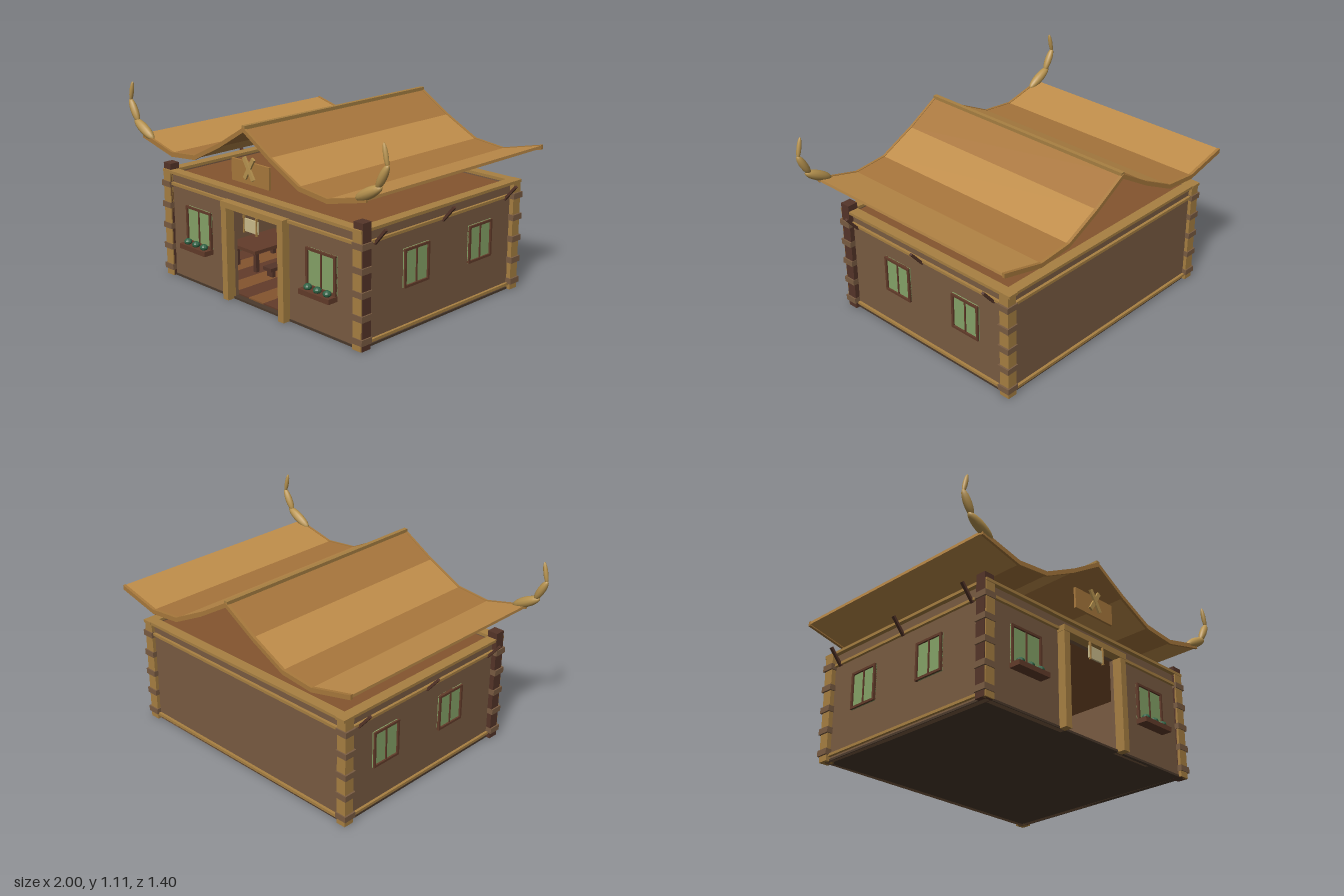
import * as THREE from 'three';

const C = {
  wall: 0x7a5c42, gold: 0xa88042, dark: 0x553529, plank: 0x84552f, frame: 0x633c2a,
  glass: 0x86a468, thatchA: 0xa8763c, thatchB: 0xbf8d4a, horn: 0xb89450, pale: 0xcdbd8c,
  bush: 0x2f6244, board: 0xa8793c, under: 0x4b3a2c,
};
const mats = {};
const mat = (c) => (mats[c] ??= new THREE.MeshStandardMaterial({ color: C[c], flatShading: c !== 'horn', roughness: 0.9 }));

function add(parent, name, geo, color, x = 0, y = 0, z = 0) {
  const m = new THREE.Mesh(geo, mat(color));
  m.name = name;
  m.position.set(x, y, z);
  parent.add(m);
  return m;
}

// Box given by its lower and upper limits
const box = (parent, name, color, x0, x1, y0, y1, z0, z1) =>
  add(parent, name, new THREE.BoxGeometry(x1 - x0, y1 - y0, z1 - z0), color, (x0 + x1) / 2, (y0 + y1) / 2, (z0 + z1) / 2);

function group(parent, name) {
  const g = new THREE.Group();
  g.name = name;
  parent.add(g);
  return g;
}

// Window facing +z, centred on its own origin
function makeWindow(parent, w, h, planter) {
  const g = group(parent, 'window');
  const t = 0.013, a = w / 2, b = h / 2;
  box(g, 'glass', 'glass', -a, a, -b, b, 0, 0.006);
  for (const s of [-1, 1]) {
    add(g, 'windowFrameSide', new THREE.BoxGeometry(t, h, 0.016), 'frame', s * (a - t / 2), 0, 0.008);
    add(g, 'windowFrameRail', new THREE.BoxGeometry(w, t, 0.016), 'frame', 0, s * (b - t / 2), 0.008);
  }
  box(g, 'windowMullion', 'frame', -0.004, 0.004, -b, b, 0, 0.012);
  if (planter) {
    box(g, 'planter', 'frame', -0.11, 0.11, -b - 0.028, -b, 0, 0.065);
    for (const x of [-0.07, 0, 0.07]) {
      const m = add(g, 'plant', new THREE.SphereGeometry(0.023, 10, 7), 'bush', x, -b + 0.012, 0.035);
      m.scale.y = 0.8;
    }
  }
  return g;
}

// Two crossed bars in the xy plane
function makeCross(parent, name, color, len, w, spread, x, y, z) {
  const g = group(parent, name);
  g.position.set(x, y, z);
  for (const s of [-1, 1]) add(g, 'crossBar', new THREE.BoxGeometry(w, len, 0.012), color, 0, 0, s * 0.002).rotation.z = s * spread;
}

function buildWalls(root) {
  const g = group(root, 'walls');
  box(g, 'foundation', 'under', -0.76, 0.76, 0, 0.012, -0.61, 0.605);
  box(g, 'backWall', 'wall', -0.755, 0.755, 0, 0.615, -0.61, -0.58);
  box(g, 'ceiling', 'plank', -0.73, 0.73, 0.59, 0.605, -0.585, 0.575);
  box(g, 'doorLintelWall', 'wall', -0.21, 0.21, 0.53, 0.615, 0.57, 0.6);
  for (const s of [-1, 1]) {
    add(g, 'frontWall', new THREE.BoxGeometry(0.55, 0.615, 0.03), 'wall', s * 0.48, 0.3075, 0.585);
    add(g, 'sideWall', new THREE.BoxGeometry(0.03, 0.615, 1.21), 'wall', s * 0.74, 0.3075, -0.005);
    // Rails along the side walls
    for (const y of [0.032, 0.552]) add(g, 'sideRail', new THREE.BoxGeometry(0.03, 0.015, 1.15), 'gold', s * 0.755, y, 0);
    add(g, 'topSideRail', new THREE.BoxGeometry(0.06, 0.016, 1.265), 'gold', s * 0.75, 0.622, -0.007);
    // Slanted struts under the eaves
    for (const z of [-0.515, 0, 0.51])
      add(g, 'eaveStrut', new THREE.BoxGeometry(0.014, 0.115, 0.016), 'dark', s * 0.8, 0.58, z).rotation.z = -s * 0.7;
    // Side windows
    for (const z of [0.2, -0.31]) {
      const w = makeWindow(g, 0.19, 0.21, false);
      w.position.set(s * 0.755, 0.348, z);
      w.rotation.y = s * Math.PI / 2;
    }
    makeWindow(g, 0.215, 0.212, true).position.set(s * 0.487, 0.344, 0.6);
  }
  // Rails along the front and back
  for (const [z, ys] of [[0.605, [0.552]], [-0.615, [0.032, 0.552]]])
    for (const y of ys) add(g, 'crossRail', new THREE.BoxGeometry(1.5, 0.016, 0.022), 'gold', 0, y, z);
  for (const z of [0.595, -0.605]) add(g, 'topCrossRail', new THREE.BoxGeometry(1.56, 0.016, 0.06), 'gold', 0, 0.622, z);
}

function buildCorners(root) {
  const g = group(root, 'cornerPosts');
  for (const s of [-1, 1]) {
    add(g, 'frontDarkPost', new THREE.BoxGeometry(0.062, 0.665, 0.06), 'dark', s * 0.752, 0.3325, 0.585);
    add(g, 'frontPost', new THREE.BoxGeometry(0.058, 0.625, 0.02), 'gold', s * 0.75, 0.3125, 0.612);
    add(g, 'backPost', new THREE.BoxGeometry(0.058, 0.63, 0.06), 'gold', s * 0.752, 0.315, -0.6);
    // Log ends stacked up each corner
    for (let i = 0; i < 5; i++) {
      const y = 0.05 + i * 0.124;
      for (const z of [0.59, -0.6]) add(g, 'logEnd', new THREE.BoxGeometry(0.072, 0.033, 0.074), 'wall', s * 0.755, y, z);
    }
  }
}

function buildDoor(root) {
  const g = group(root, 'doorway');
  for (const s of [-1, 1]) add(g, 'doorPost', new THREE.BoxGeometry(0.042, 0.555, 0.055), 'gold', s * 0.224, 0.2775, 0.62);
  box(g, 'doorBeam', 'gold', -0.247, 0.247, 0.53, 0.563, 0.595, 0.65);
  // Hanging sign
  box(g, 'hangingSign', 'pale', -0.056, 0.056, 0.44, 0.51, 0.64, 0.65);
  for (const s of [-1, 1]) add(g, 'signHanger', new THREE.BoxGeometry(0.007, 0.1, 0.012), 'gold', s * 0.05, 0.48, 0.65);
  // Plaque with crossed bars above the entrance
  box(g, 'plaque', 'board', -0.147, 0.147, 0.7, 0.82, 0.632, 0.645);
  makeCross(g, 'plaqueCross', 'horn', 0.135, 0.023, 0.55, 0, 0.788, 0.652);
}

function buildInterior(root) {
  const g = group(root, 'interior');
  for (let i = 0; i < 12; i++) {
    const x = -0.72 + i * 0.12;
    box(g, 'floorPlank', i % 2 ? 'plank' : 'frame', x, x + 0.12, 0.012, 0.02, -0.58, 0.57);
  }
  // Counter and wall hanging at the back
  box(g, 'counter', 'wall', -0.35, 0.35, 0.02, 0.15, -0.42, -0.3);
  box(g, 'counterTop', 'dark', -0.37, 0.37, 0.15, 0.17, -0.43, -0.28);
  add(g, 'mug', new THREE.CylinderGeometry(0.012, 0.012, 0.025, 8), 'dark', -0.14, 0.182, -0.34);
  box(g, 'wallHanging', 'dark', -0.118, 0.118, 0.26, 0.51, -0.58, -0.57);
  box(g, 'emblemBlock', 'horn', -0.025, 0.025, 0.41, 0.44, -0.57, -0.555);
  for (const s of [-1, 1]) add(g, 'emblemLeg', new THREE.BoxGeometry(0.015, 0.1, 0.012), 'horn', s * 0.022, 0.365, -0.56).rotation.z = s * 0.55;
  // Tables with benches
  for (const s of [-1, 1]) {
    const t = group(g, 'table');
    t.position.set(s * 0.475, 0, 0.14);
    box(t, 'tableTop', 'frame', -0.12, 0.12, 0.14, 0.16, -0.18, 0.18);
    for (const x of [-0.085, 0.085]) for (const z of [-0.14, 0.14])
      box(t, 'tableLeg', 'dark', x - 0.012, x + 0.012, 0.002, 0.14, z - 0.012, z + 0.012);
    box(t, 'bench', 'dark', -s * 0.2 - 0.035, -s * 0.2 + 0.035, 0.06, 0.08, -0.16, 0.16);
    for (const z of [-0.13, 0.13]) add(t, 'benchLeg', new THREE.BoxGeometry(0.05, 0.04, 0.02), 'dark', -s * 0.2, 0.04, z);
  }
}

// Sheet that follows the roof line between two points, extruded along z
function roofSlab(a, b, t, z0, z1) {
  const shape = new THREE.Shape([[a[0], a[1] - t], [b[0], b[1] - t], b, a].map((p) => new THREE.Vector2(...p)));
  return new THREE.ExtrudeGeometry(shape, { depth: z1 - z0, bevelEnabled: false }).translate(0, 0, z0);
}

function buildRoof(root) {
  const g = group(root, 'roof');
  const line = [[0, 1.01], [0.2, 0.89], [0.41, 0.785], [0.61, 0.765], [0.87, 0.828]];
  for (const s of [-1, 1]) {
    for (let i = 0; i < 4; i++) {
      let [a, b] = [line[i], line[i + 1]].map(([x, y]) => [s * x, y]);
      if (s < 0) [a, b] = [b, a];
      add(g, 'roofPanel', roofSlab(a, b, 0.016, -0.68, 0.675), i % 2 ? 'thatchB' : 'thatchA');
      // Edge boards on the front and back
      for (const [z0, z1] of [[0.672, 0.686], [-0.695, -0.678]])
        add(g, 'edgeBoard', roofSlab([a[0], a[1] + 0.003], [b[0], b[1] + 0.003], 0.026, z0, z1), 'board');
    }
    // Horn of three swelling segments: start, end, radius
    const horn = group(g, 'horn');
    for (const [x0, y0, x1, y1, r] of [[0.79, 0.805, 0.955, 0.895, 0.029], [0.925, 0.88, 0.995, 1.01, 0.022], [0.992, 0.99, 0.965, 1.11, 0.013]]) {
      const d = new THREE.Vector3(s * (x1 - x0), y1 - y0, 0);
      const m = add(horn, 'hornSegment', new THREE.SphereGeometry(1, 12, 10), 'horn', s * (x0 + x1) / 2, (y0 + y1) / 2, 0.672);
      m.scale.set(r, d.length() / 2, r);
      m.quaternion.setFromUnitVectors(new THREE.Vector3(0, 1, 0), d.normalize());
    }
  }
  box(g, 'ridgeBeam', 'gold', -0.012, 0.012, 0.995, 1.022, -0.692, 0.684);
}

export function createModel() {
  const root = new THREE.Group();
  root.name = 'longhouse';
  buildWalls(root);
  buildCorners(root);
  buildDoor(root);
  buildInterior(root);
  buildRoof(root);
  return root;
}
